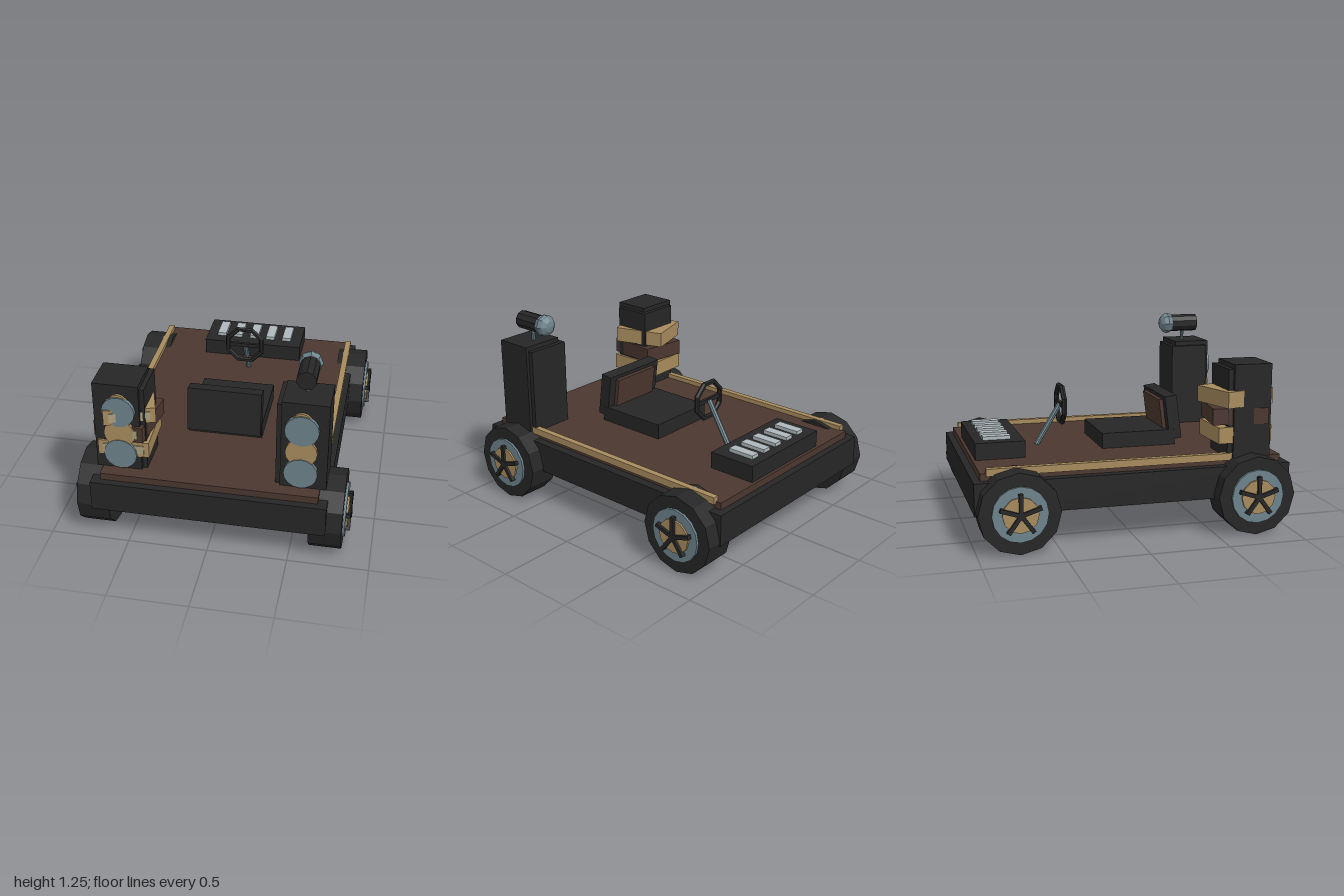
import * as THREE from 'three';

const mat = (name, color) => {
  const m = new THREE.MeshStandardMaterial({ color, flatShading: true });
  m.name = name;
  return m;
};

export function createModel() {
  const black = mat('black', 0x262626);
  const brown = mat('dark brown wood', 0x4b372f);
  const gold = mat('tan wood', 0xa78b5d);
  const steel = mat('blue grey metal', 0x6d838b);
  const pale = mat('pale grey keys', 0xaeb9bd);
  const cream = mat('cream label', 0xa99f7e);

  const root = new THREE.Group();
  root.name = 'stageCart';

  function add(name, geo, m, x, y, z, parent = root) {
    const mesh = new THREE.Mesh(geo, m);
    mesh.name = name;
    mesh.position.set(x, y, z);
    parent.add(mesh);
    return mesh;
  }
  const box = (name, m, w, h, d, x, y, z, parent) =>
    add(name, new THREE.BoxGeometry(w, h, d), m, x, y, z, parent);
  function group(name, x, y, z, parent = root) {
    const g = new THREE.Group();
    g.name = name;
    g.position.set(x, y, z);
    parent.add(g);
    return g;
  }
  // Cylinders lying along x or along z
  const discX = (r, w, n) => new THREE.CylinderGeometry(r, r, w, n).rotateZ(-Math.PI / 2);
  const discZ = (r, w, n) => new THREE.CylinderGeometry(r, r, w, n).rotateX(Math.PI / 2);

  // Chassis, deck and side rails
  box('chassis', black, 1.45, 0.2, 2, 0, 0.325, 0);
  box('deck', brown, 1.34, 0.05, 1.91, 0, 0.445, 0);
  for (const s of [-1, 1]) {
    box('sideRail', gold, 0.04, 0.045, 1.6, s * 0.672, 0.478, -0.12);
  }

  // Wheels with rim, hub and five spokes
  for (const s of [-1, 1]) {
    for (const z of [-0.745, 0.745]) {
      const w = group('wheel', s * 0.72, 0.25, z);
      if (s < 0) w.rotation.y = Math.PI;
      add('tyre', discX(0.25, 0.2, 12), black, 0, 0, 0, w);
      add('rim', discX(0.17, 0.03, 16), steel, 0.1, 0, 0, w);
      add('hub', discX(0.11, 0.03, 12), gold, 0.112, 0, 0, w);
      for (let i = 0; i < 5; i++) {
        const geo = new THREE.BoxGeometry(0.03, 0.13, 0.025);
        geo.translate(0, 0.065, 0).rotateX((i * Math.PI * 2) / 5);
        add('spoke', geo, black, 0.128, 0, 0, w);
      }
    }
  }

  // Speaker towers with three drivers each
  for (const s of [-1, 1]) {
    const t = group('speakerTower', s * 0.55, 0, 0);
    box('cabinetBack', black, 0.29, 0.56, 0.255, -s * 0.009, 0.75, 0.72, t);
    box('cabinetFront', black, 0.282, 0.59, 0.245, s * 0.016, 0.765, 0.747, t);
    add('hornRing', discZ(0.06, 0.03, 12), gold, 0, 0.942, 0.87, t);
    add('upperDriver', discZ(0.102, 0.03, 16), steel, 0, 0.885, 0.88, t);
    add('middleDriver', discZ(0.096, 0.03, 16), gold, 0, 0.73, 0.875, t);
    add('lowerDriver', discZ(0.102, 0.03, 16), steel, 0, 0.585, 0.88, t);
  }

  // Stack of twisted cases pushed through the right tower
  [[0.617, 0.04, gold, 0.7], [0.732, -0.13, brown, 0.695], [0.845, 0.3, gold, 0.695]].forEach(
    ([y, turn, m, z]) => {
      const c = group('case', -0.54, y, z);
      c.rotation.y = turn;
      box('caseBody', m, 0.315, 0.103, 0.355, 0, 0, 0, c);
      box('caseLabel', cream, 0.25, 0.06, 0.008, 0, 0, 0.18, c);
    });

  // Microphone on the left tower
  const mic = group('microphone', 0.557, 1.18, 0);
  add('stand', new THREE.CylinderGeometry(0.013, 0.013, 0.12, 8), steel, 0, -0.09, 0.717, mic);
  add('handle', discZ(0.06, 0.22, 10), black, 0, 0, 0.705, mic);
  add('grille', new THREE.SphereGeometry(0.074, 8, 6).rotateX(Math.PI / 2).scale(1, 1, 0.77),
    steel, 0, 0, 0.6, mic);

  // Seat
  box('seatBase', black, 0.48, 0.1, 0.495, 0, 0.52, 0.152);
  const back = group('seatBack', 0, 0.65, 0.388);
  back.rotation.x = -0.13;
  box('backrest', black, 0.475, 0.29, 0.08, 0, 0, 0, back);
  box('backPad', brown, 0.36, 0.22, 0.03, 0, 0.01, -0.05, back);

  // Steering wheel on a slanted column
  const steering = group('steeringWheel', 0, 0.735, -0.318);
  add('wheelRing', new THREE.TorusGeometry(0.125, 0.018, 6, 8).rotateZ(Math.PI / 8),
    black, 0, 0, 0, steering);
  box('wheelBar', black, 0.23, 0.025, 0.02, 0, 0, 0, steering);
  const column = add('steeringColumn', new THREE.CylinderGeometry(0.018, 0.018, 0.31, 8),
    steel, 0, 0.602, -0.403);
  column.rotation.x = Math.atan2(0.16, 0.265);

  // Keyboard console
  box('console', black, 0.69, 0.11, 0.315, 0, 0.522, -0.778);
  for (let i = -2; i <= 2; i++) {
    box('key', pale, 0.062, 0.03, 0.177, i * 0.119, 0.585, -0.788);
  }

  return root;
}
